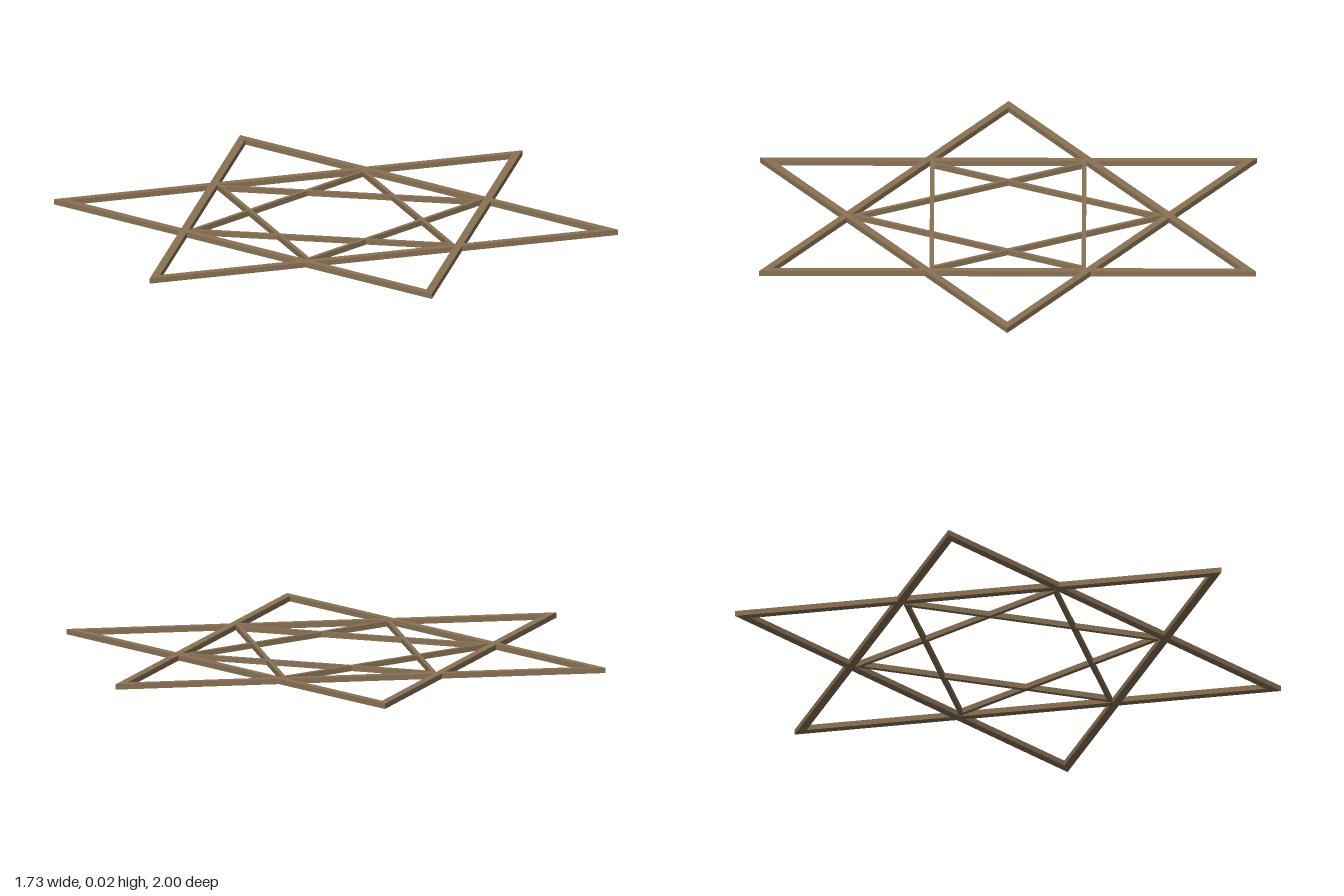
import * as THREE from 'three';

// Flat triangular frame lying on the ground; angle turns its first corner away from +x.
function triangleFrame(name, radius, width, height, angle, material) {
  const corners = (r) => [0, 1, 2].map((i) => {
    const a = angle + (i * Math.PI * 2) / 3;
    return new THREE.Vector2(Math.cos(a) * r, Math.sin(a) * r);
  });
  const shape = new THREE.Shape(corners(radius));
  // insetting each side by width shortens the corner radius by twice that
  shape.holes.push(new THREE.Path(corners(radius - 2 * width).reverse()));
  const geometry = new THREE.ExtrudeGeometry(shape, { depth: height, bevelEnabled: false });
  geometry.rotateX(-Math.PI / 2);
  const mesh = new THREE.Mesh(geometry, material);
  mesh.name = name;
  return mesh;
}

export function createModel() {
  const group = new THREE.Group();
  group.name = 'starFrame';
  const wood = new THREE.MeshStandardMaterial({ color: 0x8b7355 });
  wood.name = 'brown wood';

  const height = 0.019;
  const barWidth = 0.028;
  const slatWidth = 0.015;
  // inner star touches the corners of the hexagonal opening
  const innerRadius = ((0.5 - barWidth) * 2) / Math.sqrt(3);

  // Two large triangles form the outer star
  group.add(triangleFrame('outerTriangleBack', 1, barWidth, height, Math.PI / 2, wood));
  group.add(triangleFrame('outerTriangleFront', 1, barWidth, height, -Math.PI / 2, wood));

  // Two slim triangles form the inner star
  group.add(triangleFrame('innerTriangleLeft', innerRadius, slatWidth, height, 0, wood));
  group.add(triangleFrame('innerTriangleRight', innerRadius, slatWidth, height, Math.PI, wood));

  return group;
}
